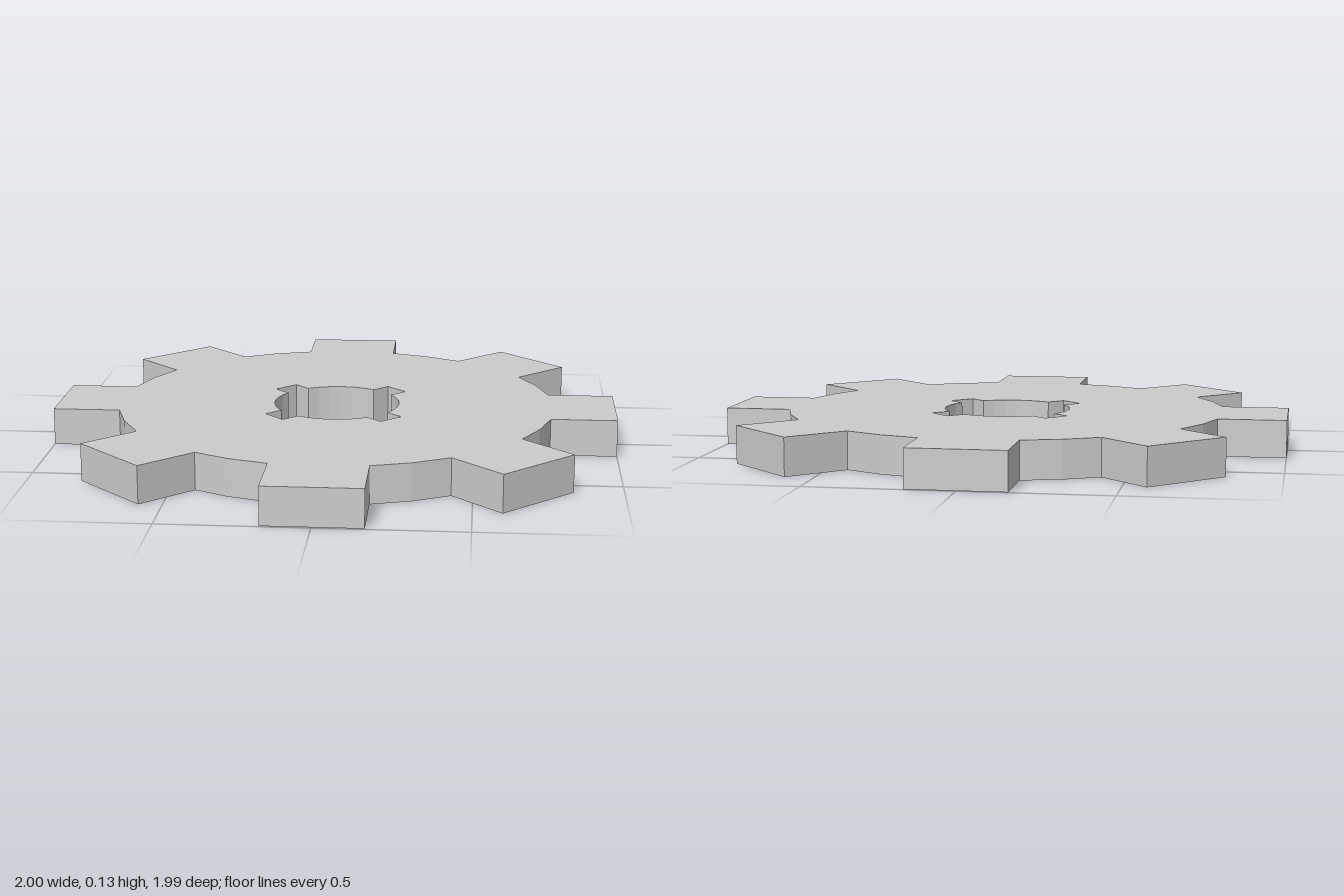
import * as THREE from 'three';

const HEIGHT = 0.131;
const CENTRE = new THREE.Vector2(0.002, 0.012); // disc centre in plan (y = -z)
const STEP = Math.PI / 16; // the rims are 32-sided

// Closed outline around a 32-sided rim with straight arms (teeth or notches).
// Each arm: angle, half width, tip radius and sideways shift.
function armedOutline(radius, arms, PathType) {
  const points = [];
  arms.forEach((arm, i) => {
    const { angle, half, tip, shift = 0 } = arm;
    const add = (along, side) => points.push(
      new THREE.Vector2(along, side).rotateAround(new THREE.Vector2(), angle).add(CENTRE));
    const onRim = (side) => Math.sqrt(radius * radius - side * side);
    const a = shift - half, b = shift + half;
    add(onRim(a), a);
    add(tip, a);
    add(tip, b);
    add(onRim(b), b);

    // rim corners up to the next arm
    const next = i + 1 < arms.length ? arms[i + 1] : { ...arms[0], angle: arms[0].angle + Math.PI * 2 };
    const start = angle + Math.asin(b / radius) + 0.03;
    const end = next.angle + Math.asin(((next.shift || 0) - next.half) / radius) - 0.03;
    for (let k = Math.ceil(start / STEP); k * STEP < end; k++) {
      points.push(new THREE.Vector2(Math.cos(k * STEP), Math.sin(k * STEP)).multiplyScalar(radius).add(CENTRE));
    }
  });
  return new PathType(points);
}

export function createModel() {
  const group = new THREE.Group();
  group.name = 'toothedWheel';

  // Eight square teeth, very slightly off centre
  const tips = [0.998, 1.003, 0.981, 0.993, 1.002, 0.993, 1.005, 1.003];
  const shifts = [0, -0.005, 0, -0.005, 0, 0.005, 0, 0.005];
  const teeth = tips.map((tip, i) => ({ angle: i * Math.PI / 4, half: 0.166, tip, shift: shifts[i] }));

  // Four keyway notches on the diagonals of the bore
  const notches = [0, 1, 2, 3].map((i) => ({ angle: Math.PI / 4 + i * Math.PI / 2, half: 0.048, tip: 0.291 }));

  const shape = armedOutline(0.782, teeth, THREE.Shape);
  shape.holes.push(armedOutline(0.225, notches, THREE.Path));

  const geometry = new THREE.ExtrudeGeometry(shape, { depth: HEIGHT, bevelEnabled: false });
  geometry.rotateX(-Math.PI / 2);

  const wheel = new THREE.Mesh(geometry, new THREE.MeshStandardMaterial({ color: 0xcccccc, flatShading: true }));
  wheel.name = 'gearPlate';
  group.add(wheel);
  return group;
}
